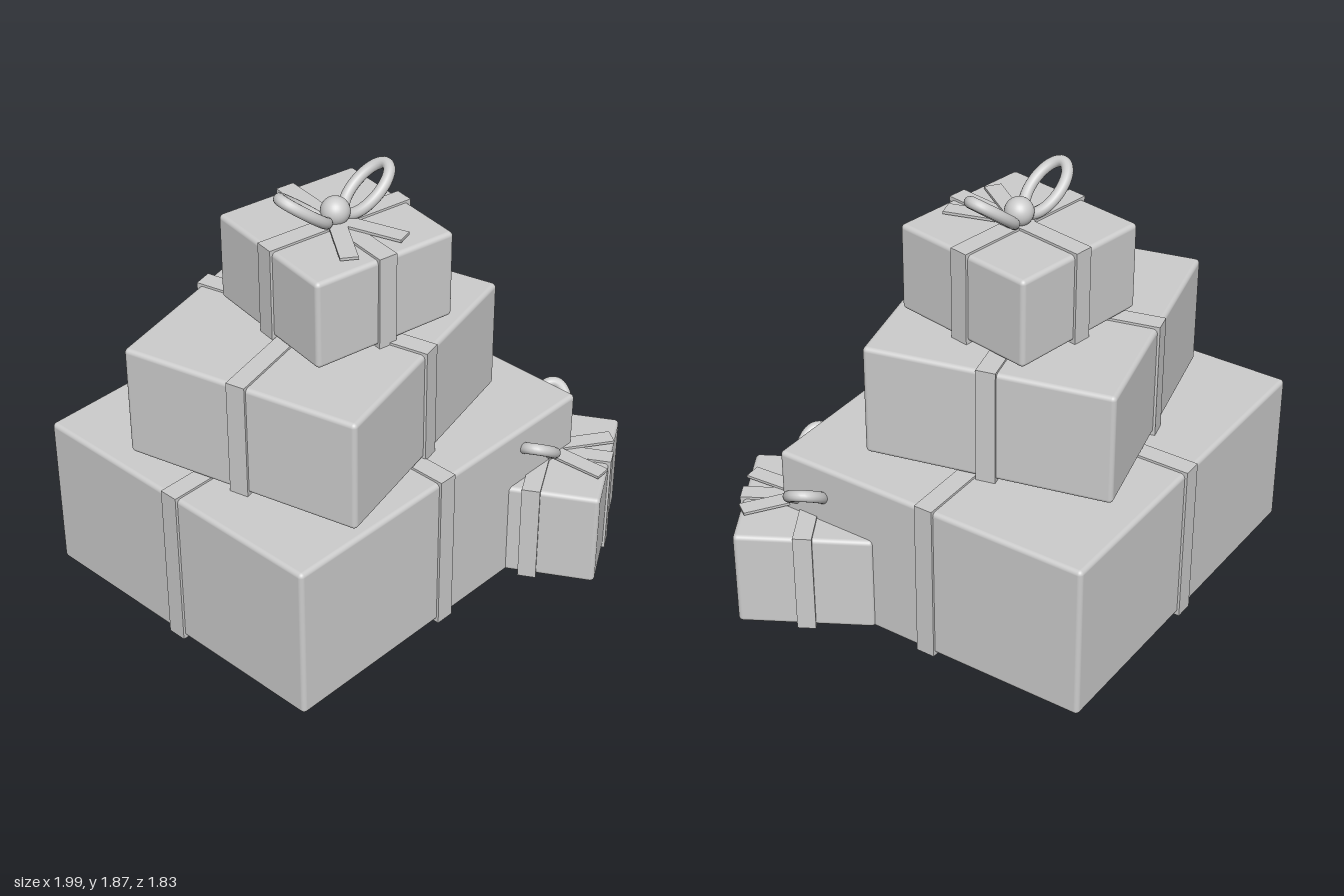
import * as THREE from 'three';
import { RoundedBoxGeometry } from 'three/addons/geometries/RoundedBoxGeometry.js';

const grey = new THREE.MeshStandardMaterial({ color: 0xcccccc });
grey.name = 'plain grey';

function add(parent, name, geometry, x = 0, y = 0, z = 0) {
  const mesh = new THREE.Mesh(geometry, grey);
  mesh.name = name;
  mesh.position.set(x, y, z);
  parent.add(mesh);
  return mesh;
}

// Bow with its origin on the lid: knot, two tilted loops, two flat tails
function makeBow() {
  const bow = new THREE.Group();
  bow.name = 'bow';
  add(bow, 'knot', new THREE.SphereGeometry(0.062, 32, 20), 0, 0.055, 0);
  for (const side of [-1, 1]) {
    const points = [];
    for (let i = 0; i < 24; i++) {
      const a = (i / 24) * Math.PI * 2;
      points.push(new THREE.Vector3(
        side * (0.157 + 0.102 * Math.cos(a)),
        0.107 + 0.08 * Math.cos(a),
        0.072 * Math.sin(a)));
    }
    const path = new THREE.CatmullRomCurve3(points, true);
    add(bow, side > 0 ? 'leftLoop' : 'rightLoop', new THREE.TubeGeometry(path, 64, 0.025, 14, true));

    const tail = new THREE.BoxGeometry(0.075, 0.012, 0.3);
    tail.translate(0, 0, 0.165);
    add(bow, side > 0 ? 'leftTail' : 'rightTail', tail, 0, 0.016, 0).rotation.y = side * 0.454;
  }
  return bow;
}

// Gift box wrapped by two crossing ribbons, standing on y
function makeGift(name, { x, y, z, w, h, d, turn = 0, ribbon = 0.085, bow = false }) {
  const gift = new THREE.Group();
  gift.name = name;
  gift.position.set(x, y, z);
  gift.rotation.y = turn;
  add(gift, 'box', new RoundedBoxGeometry(w, h, d, 4, 0.02), 0, h / 2, 0);
  add(gift, 'lengthRibbon', new THREE.BoxGeometry(ribbon, h + 0.022, d + 0.022), 0, h / 2, 0);
  add(gift, 'crossRibbon', new THREE.BoxGeometry(w + 0.022, h + 0.02, ribbon), 0, h / 2, 0);
  if (bow) {
    const top = makeBow();
    top.position.y = h;
    gift.add(top);
  }
  return gift;
}

export function createModel() {
  const model = new THREE.Group();
  model.name = 'giftStack';
  model.add(
    makeGift('bottomGift', { x: -0.145, y: 0.011, z: -0.168, w: 1.69, h: 0.724, d: 1.49 }),
    makeGift('middleGift', { x: -0.195, y: 0.745, z: -0.118, w: 1.2, h: 0.51, d: 1.08, turn: 0.236 }),
    makeGift('topGift', { x: -0.094, y: 1.266, z: -0.092, w: 0.68, h: 0.396, d: 0.69, turn: -0.175, bow: true }),
    makeGift('sideGift', { x: 0.585, y: 0.013, z: 0.505, w: 0.62, h: 0.45, d: 0.59, turn: 0.524, ribbon: 0.08, bow: true }),
  );
  return model;
}
